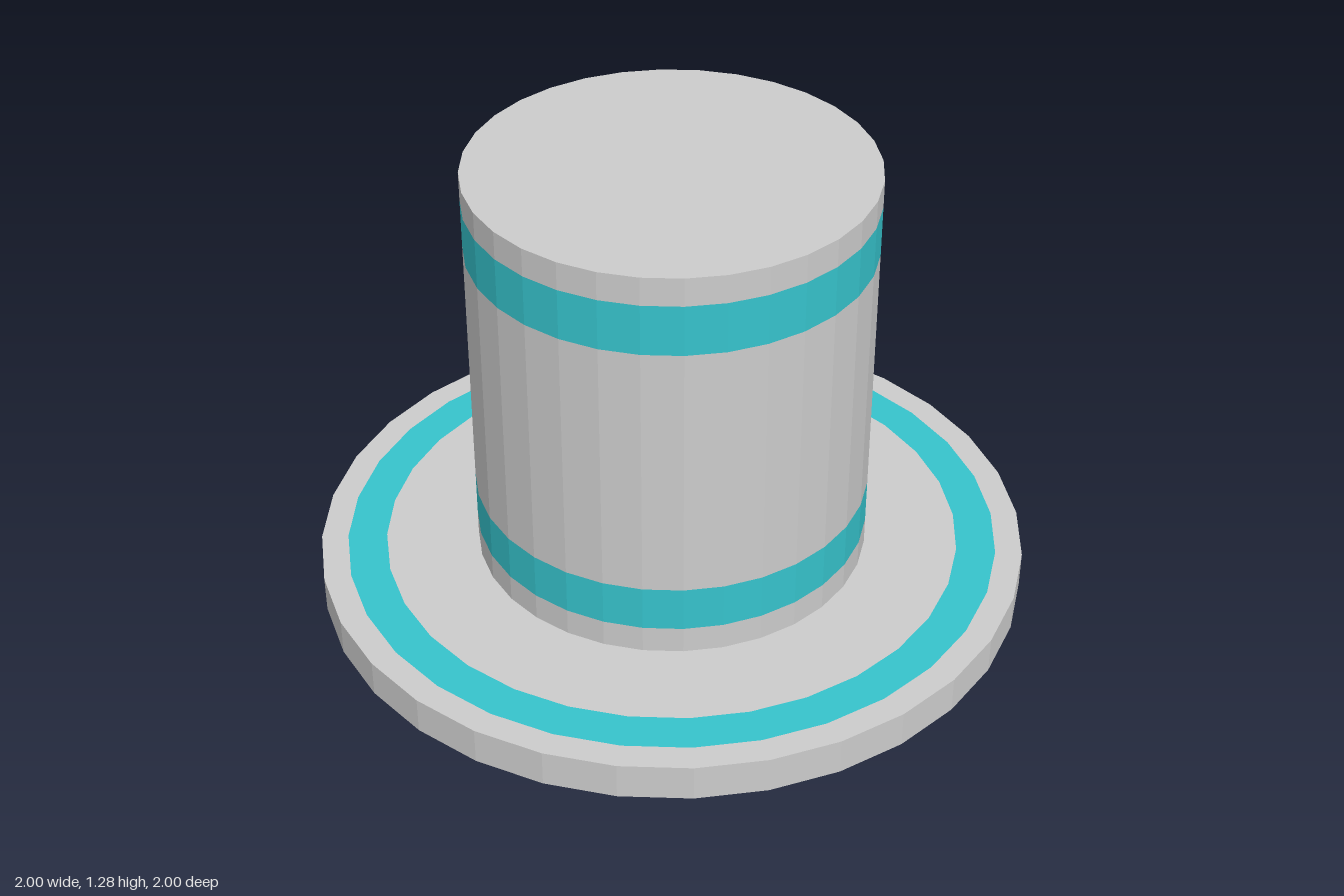
import * as THREE from 'three';

const SIDES = 32;
const grey = new THREE.MeshStandardMaterial({ color: 0xcccccc, flatShading: true });
const teal = new THREE.MeshStandardMaterial({ color: 0x36c3cc, flatShading: true });

// Turns a short run of [radius, height] points around the y axis
function strip(name, points, material = grey) {
  const profile = points.map(([r, y]) => new THREE.Vector2(r, y));
  const mesh = new THREE.Mesh(new THREE.LatheGeometry(profile, SIDES), material);
  mesh.name = name;
  return mesh;
}

export function createModel() {
  const hat = new THREE.Group();
  hat.name = 'topHat';

  const R = 0.553, HOLE = 0.484, BRIM = 0.105, TOP = 1.28, CEILING = 1.2;

  // Brim: underside, rim and upper face, with an inlaid ring on both faces
  const brim = new THREE.Group();
  brim.name = 'brim';
  brim.add(
    strip('brimUndersideInner', [[HOLE, 0], [0.675, 0]]),
    strip('brimUndersideRing', [[0.675, 0], [0.84, 0]], teal),
    strip('brimEdge', [[0.84, 0], [1, 0], [1, BRIM], [0.925, BRIM]]),
    strip('brimUpperRing', [[0.925, BRIM], [0.815, BRIM]], teal),
    strip('brimUpperInner', [[0.815, BRIM], [R, BRIM]])
  );

  // Crown: outer wall with two bands, closed by a flat top
  const crown = new THREE.Group();
  crown.name = 'crown';
  crown.add(
    strip('crownBase', [[R, BRIM], [R, 0.183]]),
    strip('lowerBand', [[R, 0.183], [R, 0.315]], teal),
    strip('crownWall', [[R, 0.315], [R, 1.057]]),
    strip('upperBand', [[R, 1.057], [R, 1.2]], teal),
    strip('crownTop', [[R, 1.2], [R, TOP], [0, TOP]])
  );

  // Hollow: ceiling and inner wall, banded like the outside
  const lining = new THREE.Group();
  lining.name = 'lining';
  lining.add(
    strip('liningCeiling', [[0, CEILING], [HOLE, CEILING], [HOLE, 0.91]]),
    strip('liningUpperBand', [[HOLE, 0.91], [HOLE, 0.72]], teal),
    strip('liningWall', [[HOLE, 0.72], [HOLE, 0.485]]),
    strip('liningLowerBand', [[HOLE, 0.485], [HOLE, 0.295]], teal),
    strip('liningBase', [[HOLE, 0.295], [HOLE, 0]])
  );

  hat.add(brim, crown, lining);
  return hat;
}
